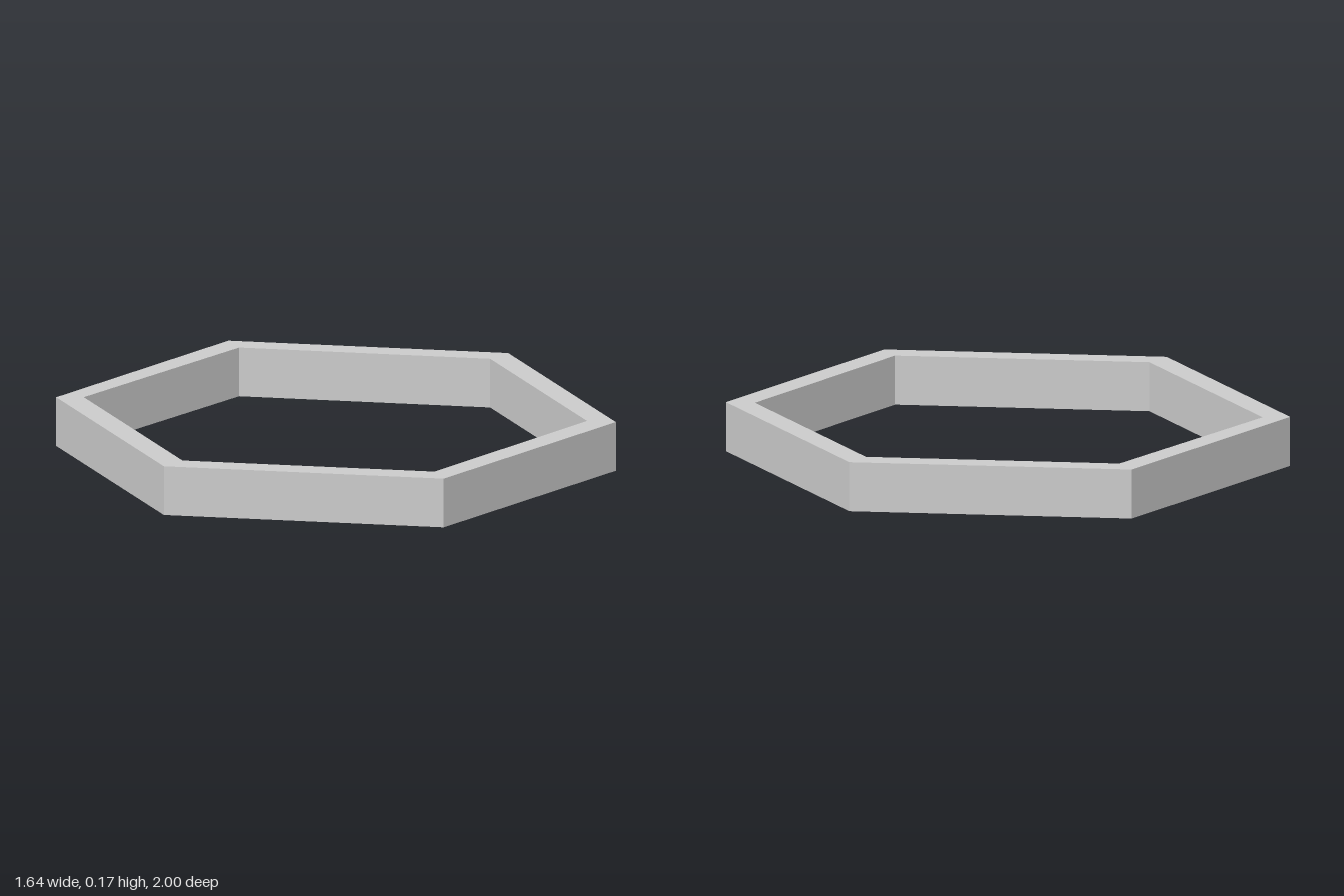
import * as THREE from 'three';

const HEIGHT = 0.17;

// corner lists are [x, z] pairs; the shape is drawn with y = -z
const toPoints = (corners) => corners.map(([x, z]) => new THREE.Vector2(x, -z));

export function createModel() {
  const group = new THREE.Group();
  group.name = 'hexagonalFrame';

  // outer hexagon, with an inner hexagon cut out (wound the other way)
  const outline = new THREE.Shape(toPoints([
    [0, -1], [0.82, -0.5], [0.82, 0.5], [0, 1], [-0.82, 0.5], [-0.82, -0.5],
  ]));
  outline.holes.push(new THREE.Path(toPoints([
    [0, -0.9], [-0.733, -0.467], [-0.733, 0.45], [0.006, 0.9], [0.735, 0.45], [0.735, -0.45],
  ])));

  // extruded upwards and laid flat on the ground
  const geometry = new THREE.ExtrudeGeometry(outline, { depth: HEIGHT, bevelEnabled: false });
  geometry.rotateX(-Math.PI / 2);

  const ring = new THREE.Mesh(
    geometry,
    new THREE.MeshStandardMaterial({ color: 0xcccccc, flatShading: true }),
  );
  ring.name = 'hexagonRing';
  group.add(ring);
  return group;
}
